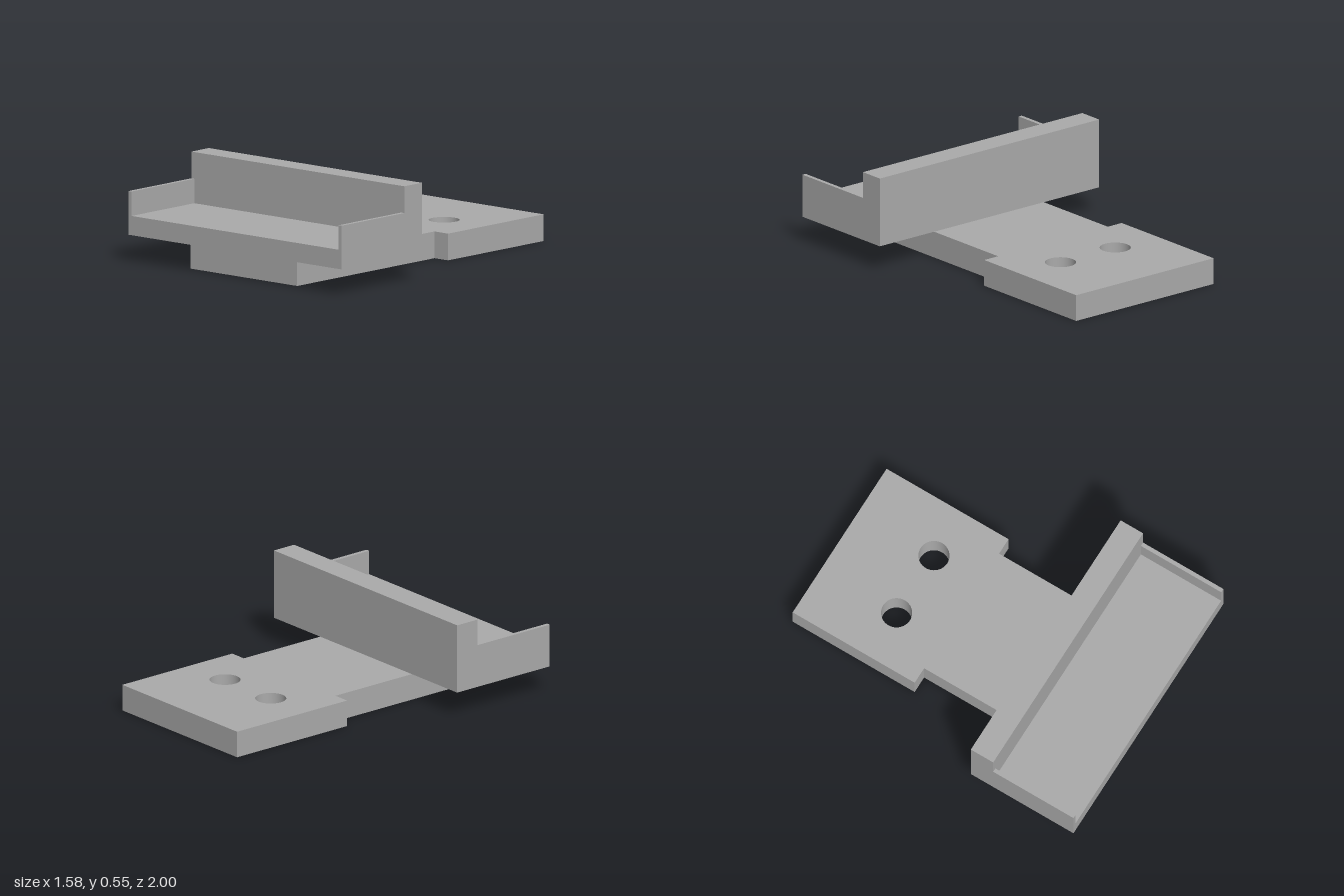
import * as THREE from 'three';
import { toCreasedNormals } from 'three/addons/utils/BufferGeometryUtils.js';

export function createModel() {
  const model = new THREE.Group();
  model.name = 'mountingBracket';
  const grey = new THREE.MeshStandardMaterial({ color: 0xaaaaaa });
  grey.name = 'plain grey';

  const add = (name, geometry) => {
    const mesh = new THREE.Mesh(geometry, grey);
    mesh.name = name;
    model.add(mesh);
    return mesh;
  };

  // Base plate: T-shaped outline drawn in x and z, with two screw holes
  const thickness = 0.15;
  const half = [[0.495, -1], [0.495, -0.21], [0.395, -0.21], [0.395, 0.925]];
  const mirrored = half.map(([x, z]) => [-x, z]).reverse();
  const outline = new THREE.Shape([...half, ...mirrored].map(([x, z]) => new THREE.Vector2(x, z)));
  for (const side of [-1, 1]) {
    outline.holes.push(new THREE.Path().absarc(side * 0.197, -0.51, 0.086, 0, Math.PI * 2, true));
  }
  const plate = new THREE.ExtrudeGeometry(outline, { depth: thickness, bevelEnabled: false, curveSegments: 24 });
  plate.rotateX(Math.PI / 2).translate(0, thickness, 0);
  add('basePlate', toCreasedNormals(plate, Math.PI / 6));

  // Tray floor and rear wall: one L-shaped section extruded across the width
  const halfWidth = 0.79, wall = 0.023;
  const section = new THREE.Shape(
    [[-1, 0.152], [-0.335, 0.152], [-0.335, 0.547], [-0.48, 0.547], [-0.48, 0.26], [-1, 0.26]]
      .map(([x, y]) => new THREE.Vector2(x, y))
  );
  const tray = new THREE.ExtrudeGeometry(section, { depth: halfWidth * 2, bevelEnabled: false });
  tray.rotateY(Math.PI / 2).translate(-halfWidth, 0, 0);
  add('trayFloorAndRearWall', tray);

  // Thin side walls standing on the tray floor
  for (const [name, side] of [['leftSideWall', 1], ['rightSideWall', -1]]) {
    add(name, new THREE.BoxGeometry(wall, 0.137, 0.52))
      .position.set(side * (halfWidth - wall / 2), 0.3285, 0.74);
  }

  return model;
}
